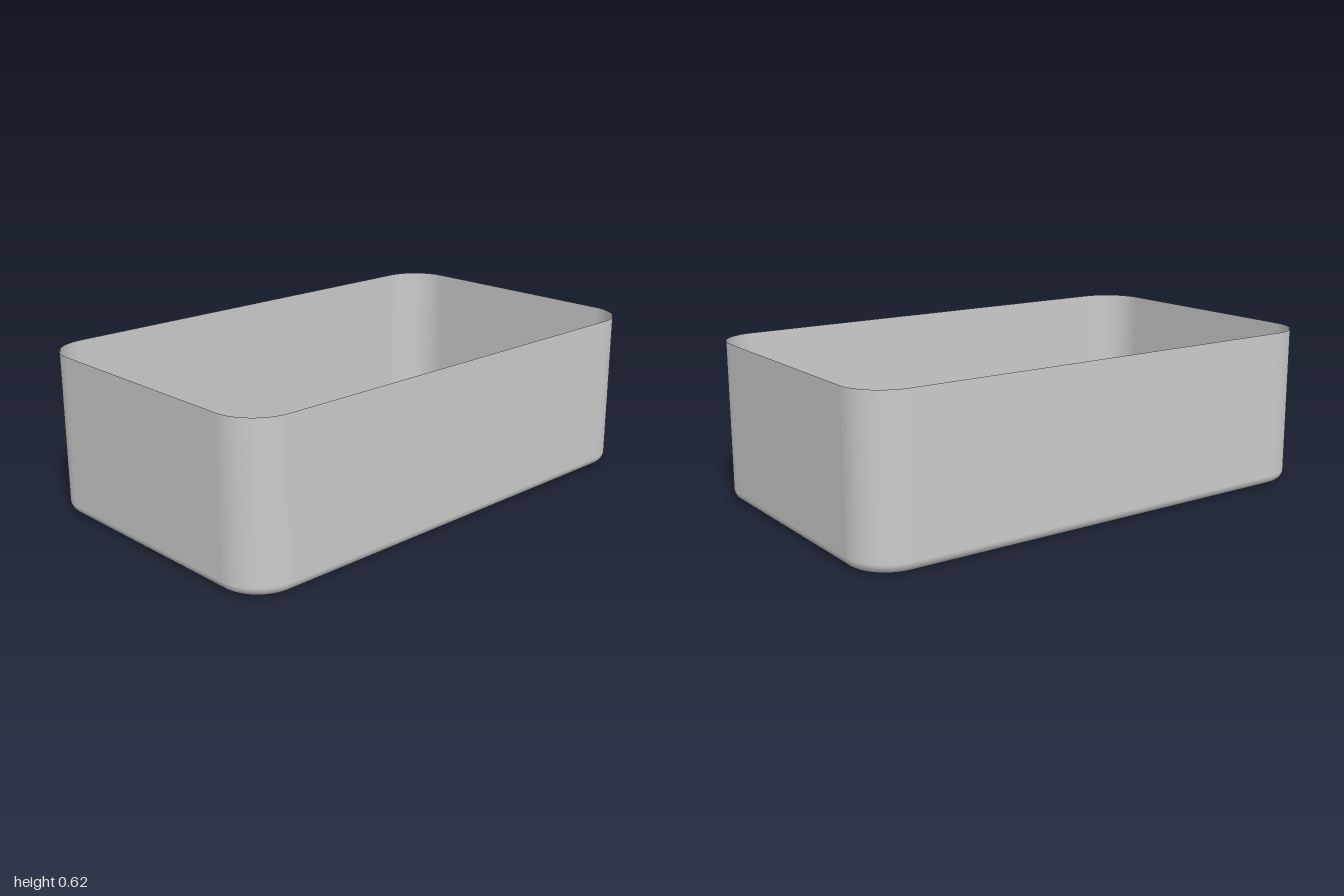
import * as THREE from 'three';

const HALF_X = 1, HALF_Z = 0.6, HEIGHT = 0.62;
const CORNER = 0.165, FILLET = 0.04;
const CORNER_STEPS = 16, FILLET_STEPS = 8;

// Directions around the outline: four rounded corners, straight sides between them
function outline() {
  const points = [];
  for (let q = 0; q < 4; q++) {
    const sx = q === 0 || q === 3 ? 1 : -1;
    const sz = q < 2 ? 1 : -1;
    for (let i = 0; i <= CORNER_STEPS; i++) {
      const a = (q + i / CORNER_STEPS) * Math.PI / 2;
      points.push({ cx: sx * (HALF_X - CORNER), cz: sz * (HALF_Z - CORNER), nx: Math.cos(a), nz: Math.sin(a) });
    }
  }
  return points;
}

// Thin open shell: flat floor, rounded bottom edge, upright walls
function shellGeometry() {
  const ring = outline(), n = ring.length;
  const positions = [0, 0, 0], normals = [0, -1, 0], index = [];

  // Rows of the wall section, from floor edge up to the rim
  const rows = [];
  for (let i = 0; i <= FILLET_STEPS; i++) {
    const a = (1 - i / FILLET_STEPS) * Math.PI / 2;
    rows.push({ inset: FILLET * (1 - Math.cos(a)), y: FILLET * (1 - Math.sin(a)), out: Math.cos(a), down: Math.sin(a) });
  }
  rows.push({ inset: 0, y: HEIGHT, out: 1, down: 0 });

  for (const row of rows) {
    for (const p of ring) {
      const r = CORNER - row.inset;
      positions.push(p.cx + p.nx * r, row.y, p.cz + p.nz * r);
      normals.push(p.nx * row.out, -row.down, p.nz * row.out);
    }
  }

  for (let j = 0; j < n; j++) {
    const k = (j + 1) % n;
    index.push(0, 1 + j, 1 + k);
    for (let i = 0; i < rows.length - 1; i++) {
      const a = 1 + i * n + j, b = 1 + i * n + k;
      index.push(a, a + n, b, b, a + n, b + n);
    }
  }

  const geometry = new THREE.BufferGeometry();
  geometry.setAttribute('position', new THREE.Float32BufferAttribute(positions, 3));
  geometry.setAttribute('normal', new THREE.Float32BufferAttribute(normals, 3));
  geometry.setIndex(index);
  return geometry;
}

export function createModel() {
  const group = new THREE.Group();
  group.name = 'openTray';
  const material = new THREE.MeshStandardMaterial({ color: 0xcccccc, side: THREE.DoubleSide });
  const shell = new THREE.Mesh(shellGeometry(), material);
  shell.name = 'trayShell';
  group.add(shell);
  return group;
}
